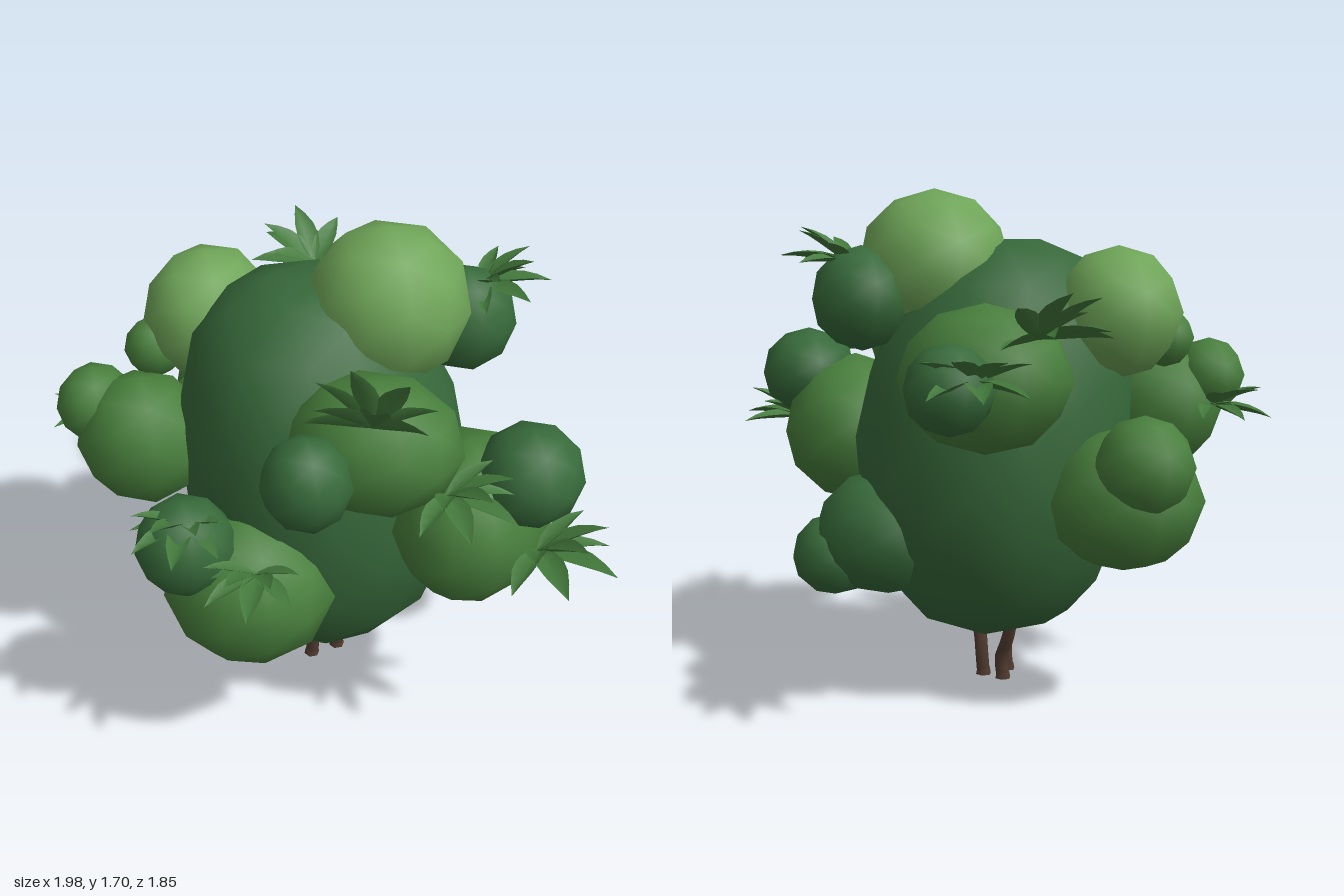
import * as THREE from 'three';
import { mergeVertices } from 'three/addons/utils/BufferGeometryUtils.js';

const mat = (color, side = THREE.FrontSide) =>
  new THREE.MeshStandardMaterial({ color, side, roughness: 0.9 });

const COLORS = {
  core: mat(0x37683a), light: mat(0x6fa558), mid: mat(0x487f3c), dark: mat(0x376a3a),
  leaf: mat(0x447a3c, THREE.DoubleSide), bark: mat(0x4f3a2f),
};

// Low-poly ball with welded vertices, optionally reshaped vertex by vertex
function softBall(detail, reshape) {
  let g = new THREE.IcosahedronGeometry(1, detail);
  g.deleteAttribute('uv');
  g.deleteAttribute('normal');
  g = mergeVertices(g, 1e-4);
  if (reshape) {
    const p = g.attributes.position;
    const v = new THREE.Vector3();
    for (let i = 0; i < p.count; i++) {
      reshape(v.fromBufferAttribute(p, i));
      p.setXYZ(i, v.x, v.y, v.z);
    }
  }
  g.computeVertexNormals();
  return g;
}

// Core: squarish upright profile whose upper half narrows and leans left and forward
function shapeCore(v) {
  const power = 2.45;
  const n = Math.hypot(v.x, v.z) ** power + Math.abs(v.y) ** power;
  v.multiplyScalar(n ** (-1 / power));
  const up = Math.max(0, v.y);
  v.x = v.x * (1 - 0.04 * up) - 0.13 * up;
  v.z = v.z * (1 - 0.1 * up) + 0.09 * up;
}

// Pointed leaf blade along +z with a folded midrib and a drooping tip
function leafBlade() {
  const pos = [], idx = [], steps = 5;
  for (let i = 0; i <= steps; i++) {
    const t = i / steps;
    const half = 0.17 * Math.sin(Math.PI * Math.min(1, 0.08 + 0.92 * t ** 0.9));
    const y = 0.4 * t - 0.4 * t * t;
    pos.push(-half, y, t, 0, y - half * 0.6, t, half, y, t);
    if (i === steps) break;
    for (let k = 0; k < 2; k++) {
      const a = i * 3 + k;
      idx.push(a, a + 3, a + 1, a + 1, a + 3, a + 4);
    }
  }
  const g = new THREE.BufferGeometry();
  g.setAttribute('position', new THREE.Float32BufferAttribute(pos, 3));
  g.setIndex(idx);
  g.computeVertexNormals();
  return g;
}

export function createModel() {
  const root = new THREE.Group();
  root.name = 'bush';
  const add = (name, geometry, material, parent = root) => {
    const m = new THREE.Mesh(geometry, material);
    m.name = name;
    parent.add(m);
    return m;
  };

  // Main foliage mass
  const core = add('foliageCore', softBall(2, shapeCore), COLORS.core);
  core.position.set(-0.04, 0.855, 0.06);
  core.scale.set(0.475, 0.68, 0.515);

  // Foliage clumps: name, shade, centre, radii
  const ball = softBall(1);
  const clumps = [
    ['crownClump', 'light', [0.16, 1.44, 0.03], [0.265, 0.26, 0.275]],
    ['leftCrownClump', 'light', [-0.47, 1.29, -0.03], [0.215, 0.22, 0.245]],
    ['leftCrownBud', 'mid', [-0.62, 1.2, 0.1], [0.1, 0.1, 0.1]],
    ['upperFrontClump', 'mid', [0.23, 1.19, 0.45], [0.275, 0.215, 0.235]],
    ['upperFrontBud', 'dark', [0.09, 1.18, 0.69], [0.14, 0.15, 0.14]],
    ['leftSideClump', 'mid', [-0.6, 0.96, 0.28], [0.225, 0.225, 0.215]],
    ['leftSideBud', 'mid', [-0.77, 1.06, 0.27], [0.125, 0.13, 0.14]],
    ['lowerFrontClump', 'mid', [-0.16, 0.63, 0.52], [0.285, 0.265, 0.275]],
    ['lowerFrontBud', 'dark', [-0.32, 0.84, 0.65], [0.16, 0.165, 0.16]],
    ['rightSideClump', 'mid', [0.5, 0.85, 0.26], [0.255, 0.27, 0.315]],
    ['rightSideBud', 'dark', [0.68, 1.05, 0.28], [0.17, 0.16, 0.185]],
    ['lowRightClump', 'dark', [0.29, 0.55, -0.15], [0.25, 0.215, 0.225]],
    ['lowRightBud', 'dark', [0.47, 0.47, -0.17], [0.145, 0.14, 0.15]],
    ['lowBackClump', 'mid', [-0.51, 0.7, -0.23], [0.26, 0.235, 0.255]],
    ['lowBackBud', 'mid', [-0.58, 0.83, -0.37], [0.16, 0.16, 0.16]],
    ['backClump', 'mid', [-0.09, 1.1, -0.44], [0.28, 0.235, 0.22]],
    ['backBud', 'dark', [-0.02, 1.09, -0.67], [0.14, 0.14, 0.14]],
    ['upperRightClump', 'dark', [0.375, 1.335, -0.135], [0.17, 0.175, 0.17]],
  ];
  for (const [name, shade, centre, radii] of clumps) {
    const m = add(name, ball, COLORS[shade]);
    m.position.set(...centre);
    m.scale.set(...radii);
  }

  // Leaf tufts: base point, heading from +z towards +x (degrees), upward tilt, size
  const blade = leafBlade();
  const tufts = [
    [[0.27, 1.37, 0.63], 0, 52, 0.27],
    [[-0.07, 0.83, 0.71], 0, 6, 0.22],
    [[-0.31, 0.94, 0.67], 0, 8, 0.22],
    [[-0.78, 0.97, 0.18], -112, 0, 0.22],
    [[0.42, 1.46, -0.15], 90, 16, 0.23],
    [[0.74, 0.87, 0.41], 62, 12, 0.27],
    [[0.48, 1.13, 0.56], 62, 6, 0.24],
    [[-0.27, 1.24, -0.58], -130, 18, 0.27],
    [[-0.1, 1.12, -0.7], 185, 2, 0.25],
  ];
  tufts.forEach(([base, heading, tilt, size], n) => {
    const tuft = new THREE.Group();
    tuft.name = 'leafTuft' + (n + 1);
    tuft.position.set(...base);
    tuft.rotation.set(-THREE.MathUtils.degToRad(tilt), THREE.MathUtils.degToRad(heading), 0, 'YXZ');
    root.add(tuft);
    for (let i = 0; i < 8; i++) {
      const upper = i % 2, spread = i - 3.5;
      const leaf = add('leaf', blade, COLORS.leaf, tuft);
      leaf.rotation.set(upper ? -0.3 : 0.2, spread * 0.38, 0, 'YXZ');
      leaf.scale.setScalar(size * (upper ? 0.92 : 1) * (1 - 0.06 * Math.abs(spread)));
    }
  });

  // Thin bent stems flaring out under the foliage: foot and top
  const stems = [
    [-0.08, 0.13, -0.1, 0.155],
    [-0.08, 0.025, -0.12, -0.01],
    [-0.005, 0.06, 0.025, 0.08],
  ];
  for (const [x0, z0, x1, z1] of stems) {
    const path = new THREE.CatmullRomCurve3([
      new THREE.Vector3(x0, 0.004, z0),
      new THREE.Vector3(x0 + 0.006, 0.08, z0),
      new THREE.Vector3(x0 * 0.6 + x1 * 0.4, 0.14, z0 * 0.6 + z1 * 0.4),
      new THREE.Vector3(x1, 0.24, z1),
    ]);
    add('stem', new THREE.TubeGeometry(path, 6, 0.024, 6), COLORS.bark);
    const foot = add('stemFoot', new THREE.CylinderGeometry(0.024, 0.028, 0.02, 6), COLORS.bark);
    foot.position.set(x0, 0.01, z0);
  }
  return root;
}
